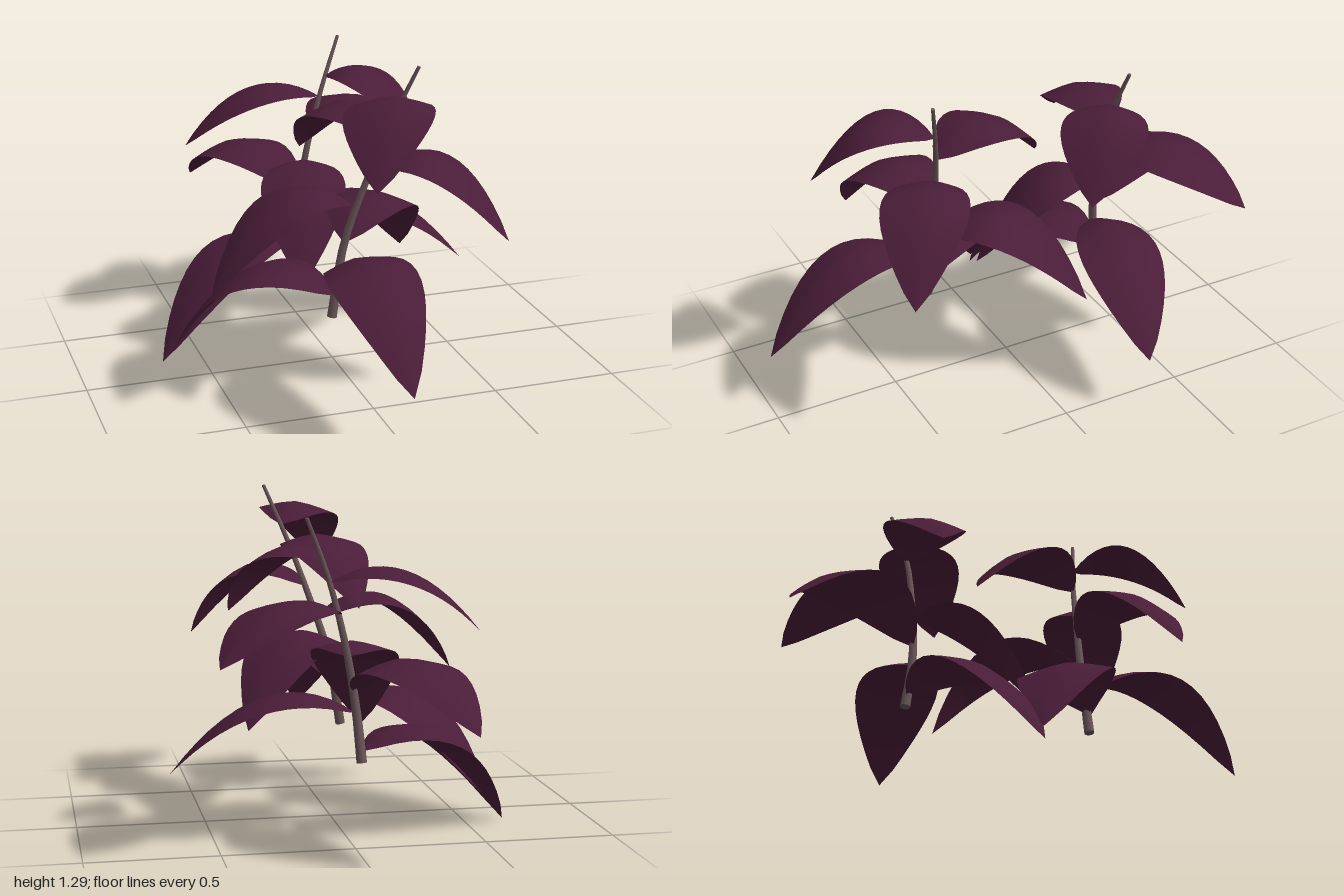
import * as THREE from 'three';

const leafMat = new THREE.MeshStandardMaterial({ color: 0x4a1d38, side: THREE.DoubleSide });
leafMat.name = 'plum leaf';
const stemMat = new THREE.MeshStandardMaterial({ color: 0x6a5558 });
stemMat.name = 'grey brown stem';

// Tapered tube with closed ends
function makeStem(curve, r0, r1) {
  const group = new THREE.Group();
  group.name = 'stem';
  const rows = 12, sides = 8;
  const geo = new THREE.TubeGeometry(curve, rows, 1, sides);
  const pos = geo.attributes.position, p = new THREE.Vector3();
  for (let i = 0; i < pos.count; i++) {
    const t = Math.floor(i / (sides + 1)) / rows;
    const c = curve.getPointAt(t);
    p.fromBufferAttribute(pos, i).sub(c).multiplyScalar(r0 + (r1 - r0) * t).add(c);
    pos.setXYZ(i, p.x, p.y, p.z);
  }
  const tube = new THREE.Mesh(geo, stemMat);
  tube.name = 'stemTube';
  group.add(tube);
  for (const [t, r, s] of [[0, r0, -1], [1, r1, 1]]) {
    const cap = new THREE.Mesh(new THREE.CircleGeometry(r, sides), stemMat);
    cap.name = 'stemEnd';
    cap.position.copy(curve.getPointAt(t));
    cap.quaternion.setFromUnitVectors(new THREE.Vector3(0, 0, 1), curve.getTangentAt(t).multiplyScalar(s));
    group.add(cap);
  }
  return group;
}

// Pointed oval blade that arches from the stem over a peak height down to its tip
function makeLeaf(base, tip, peak, width, roll) {
  const geo = new THREE.PlaneGeometry(1, 1, 6, 14);
  const pos = geo.attributes.position;
  const rise = peak - base.y, drop = tip.y - base.y;
  const a = 2 * rise + 2 * Math.sqrt(rise * rise - rise * drop);
  const b = drop - a;
  const side = new THREE.Vector3(-(tip.z - base.z), 0, tip.x - base.x).normalize();
  for (let i = 0; i < pos.count; i++) {
    const v = pos.getX(i) * 2, s = pos.getY(i) + 0.5;
    const half = width / 2 * Math.pow(Math.max(0, Math.sin(Math.PI * Math.pow(s, 0.95))), 0.8);
    const w = v * half;
    // the two halves fold slightly down from the midrib
    const sag = 0.23 * half * Math.pow(Math.abs(v), 1.4);
    pos.setXYZ(i,
      base.x + (tip.x - base.x) * s + side.x * w,
      base.y + a * s + b * s * s - sag + roll * w,
      base.z + (tip.z - base.z) * s + side.z * w);
  }
  geo.computeVertexNormals();
  const leaf = new THREE.Mesh(geo, leafMat);
  leaf.name = 'leaf';
  return leaf;
}

// Each leaf: height on the stem, peak height, tip x, y, z, width, roll
const PLANTS = [
  {
    name: 'frontPlant',
    stem: [[-0.10, 0.31, 0.30], [-0.05, 0.60, 0.295], [0.03, 0.85, 0.32], [0.11, 1.07, 0.35], [0.20, 1.29, 0.40]],
    leaves: [
      [0.48, 0.625, -0.03, 0.27, 1.0, 0.33, -0.12],
      [0.39, 0.49, -0.61, 0.07, -0.15, 0.36, 0],
      [0.60, 0.73, 0.35, 0.39, -0.17, 0.35, 0],
      [0.74, 0.85, -0.60, 0.51, 0.43, 0.33, 0],
      [0.88, 0.975, 0.48, 0.66, 0.62, 0.33, 0],
      [1.01, 1.11, -0.08, 0.85, -0.17, 0.33, 0],
      [1.13, 1.215, -0.09, 0.95, 0.77, 0.33, -0.05],
    ],
  },
  {
    name: 'backPlant',
    stem: [[-0.035, 0.31, -0.44], [-0.02, 0.50, -0.41], [0.02, 0.75, -0.40], [0.085, 1.00, -0.405], [0.17, 1.22, -0.44]],
    leaves: [
      [0.35, 0.43, -0.66, 0.0, -0.17, 0.34, 0],
      [0.49, 0.57, 0.66, 0.26, -0.27, 0.32, 0],
      [0.57, 0.735, -0.33, 0.51, -1.0, 0.35, 0],
      [0.70, 0.745, -0.14, 0.36, 0.06, 0.34, 0],
      [0.86, 0.935, 0.53, 0.73, -0.76, 0.34, 0],
      [0.98, 1.04, -0.47, 0.80, -0.48, 0.31, 0],
      [1.06, 1.115, 0.42, 0.85, -0.14, 0.33, 0],
    ],
  },
];

export function createModel() {
  const model = new THREE.Group();
  model.name = 'leafyPlants';
  for (const plant of PLANTS) {
    const group = new THREE.Group();
    group.name = plant.name;
    const curve = new THREE.CatmullRomCurve3(plant.stem.map(p => new THREE.Vector3(...p)));
    group.add(makeStem(curve, 0.02, 0.007));
    const points = curve.getPoints(200);
    for (const [y, peak, tx, ty, tz, width, roll] of plant.leaves) {
      const base = points.find(p => p.y >= y);
      group.add(makeLeaf(base, new THREE.Vector3(tx, ty, tz), peak, width, roll));
    }
    model.add(group);
  }
  return model;
}
